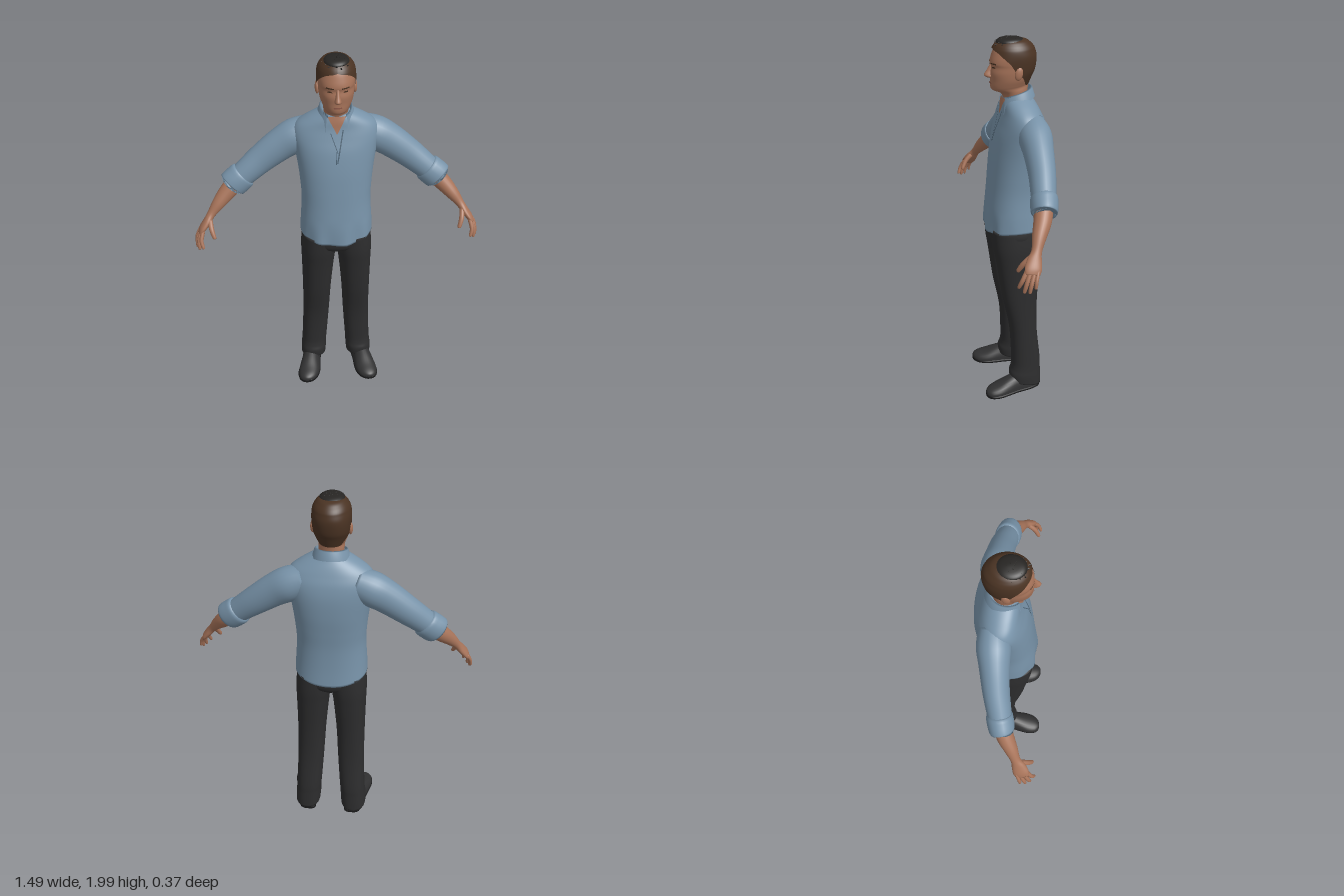
import * as THREE from 'three';

const V = (x, y, z) => new THREE.Vector3(x, y, z);
const mat = (name, color, side = THREE.FrontSide) =>
  Object.assign(new THREE.MeshStandardMaterial({ color, side }), { name });

// Smoothly interpolate every column of a table of cross-sections.
function sample(rows, n) {
  const m = rows.length - 1, out = [];
  for (let k = 0; k <= n; k++) {
    const t = k / n * m, i = Math.min(Math.floor(t), m - 1), f = t - i;
    const [a, b, c, d] = [-1, 0, 1, 2].map(o => rows[Math.min(Math.max(i + o, 0), m)]);
    out.push(b.map((_, q) => b[q] + 0.5 * f * (c[q] - a[q] + f * (2 * a[q] - 5 * b[q] + 4 * c[q] - d[q]
      + f * (3 * (b[q] - c[q]) + d[q] - a[q])))));
  }
  return out;
}

// Skin a list of rings; closed rings share their seam and get end caps.
function loft(rings, closed = true) {
  const s = rings[0].length, pos = [], idx = [], last = rings.length - 1;
  rings.forEach(r => r.forEach(p => pos.push(p.x, p.y, p.z)));
  for (let i = 0; i < last; i++) for (let j = 0; j < (closed ? s : s - 1); j++) {
    const k = (j + 1) % s, a = i * s + j, b = i * s + k;
    idx.push(a, b, b + s, a, b + s, a + s);
  }
  if (closed) [0, last].forEach(e => {
    const c = V(0, 0, 0);
    rings[e].forEach(p => c.addScaledVector(p, 1 / s));
    const n = pos.length / 3;
    pos.push(c.x, c.y, c.z);
    for (let j = 0; j < s; j++) {
      const a = e * s + j, b = e * s + (j + 1) % s;
      e ? idx.push(n, a, b) : idx.push(n, b, a);
    }
  });
  const g = new THREE.BufferGeometry();
  g.setAttribute('position', new THREE.Float32BufferAttribute(pos, 3));
  g.setIndex(idx);
  g.computeVertexNormals();
  return g;
}

const pw = (v, e) => Math.sign(v) * Math.abs(v) ** e;
const around = (n, f) => Array.from({ length: n }, (_, j) => f(j / n * Math.PI * 2));

// Horizontal superellipse at angle a: row = [y, halfWidth, zFront, zBack, power, tilt, xCentre]
function at([y, w, zf, zb, p = 2, tilt = 0, cx = 0], a) {
  const z = (zf + zb) / 2 + (zf - zb) / 2 * pw(Math.cos(a), 2 / p);
  return V(cx + w * pw(Math.sin(a), 2 / p), y + tilt * z, z);
}
const body = (rows, n = 40, seg = 48) => loft(sample(rows, n).map(r => around(seg, a => at(r, a))));

// Limb along a path: row = [x, y, z, radius toward the front, radius across]
function limb(rows, n = 24, seg = 24) {
  const s = sample(rows, n);
  return loft(s.map((r, i) => {
    const p = s[Math.max(i - 1, 0)], q = s[Math.min(i + 1, n)];
    const t = V(q[0] - p[0], q[1] - p[1], q[2] - p[2]).normalize();
    const u = V(0, 0, 1).addScaledVector(t, -t.z).normalize(), v = t.clone().cross(u);
    return around(seg, a => V(r[0], r[1], r[2])
      .addScaledVector(u, r[3] * Math.cos(a)).addScaledVector(v, r[4] * Math.sin(a)));
  }));
}

function mirror(geo) {
  const g = geo.clone().scale(-1, 1, 1), ix = g.index.array;
  for (let i = 0; i < ix.length; i += 3) [ix[i + 1], ix[i + 2]] = [ix[i + 2], ix[i + 1]];
  g.computeVertexNormals();
  return g;
}

// Thin face laid on the front of a body; corners run bottom left, bottom right, top right, top left.
function patch(rows, [bl, br, tr, tl], off = 0.003) {
  const s = sample(rows, 80);
  const surf = (x, y) => {
    const i = Math.max(1, s.findIndex(r => r[0] >= y)), a = s[i - 1], b = s[i];
    const f = (y - a[0]) / (b[0] - a[0]);
    const [, w, zf, zb, p] = a.map((v, k) => v + (b[k] - v) * f);
    return (zf + zb) / 2 + (zf - zb) / 2 * Math.max(0, 1 - Math.abs(x / w) ** p) ** (1 / p) + off;
  };
  const mix = (p, q, t) => [p[0] + (q[0] - p[0]) * t, p[1] + (q[1] - p[1]) * t];
  return loft(Array.from({ length: 9 }, (_, i) => Array.from({ length: 9 }, (_, j) => {
    const [x, y] = mix(mix(bl, br, j / 8), mix(tl, tr, j / 8), i / 8);
    return V(x, y, surf(x, y));
  })), false);
}

const TORSO = [
  [0.975, 0.192, 0.137, -0.175, 2.3], [1.08, 0.187, 0.132, -0.167, 2.3], [1.2, 0.18, 0.121, -0.165, 2.3],
  [1.3, 0.185, 0.112, -0.172, 2.3], [1.4, 0.195, 0.101, -0.18, 2.3], [1.5, 0.21, 0.083, -0.18, 2.3],
  [1.57, 0.218, 0.062, -0.168, 2.3], [1.62, 0.2, 0.048, -0.148, 2.2], [1.66, 0.148, 0.042, -0.128, 2.1],
  [1.695, 0.085, 0.034, -0.105, 2]];

const HEAD = [
  [1.6, 0.058, 0.03, -0.085, 2, 0], [1.68, 0.06, 0.034, -0.088, 2, 0], [1.72, 0.063, 0.05, -0.09, 2, -0.12],
  [1.742, 0.064, 0.09, -0.092, 2, -0.12], [1.757, 0.07, 0.1, -0.094, 2, -0.06], [1.785, 0.08, 0.1, -0.1, 2.1, 0],
  [1.82, 0.086, 0.102, -0.113, 2.2, 0], [1.85, 0.088, 0.097, -0.12, 2.2, 0], [1.87, 0.089, 0.1, -0.122, 2.2, 0],
  [1.9, 0.089, 0.093, -0.122, 2.1, 0], [1.94, 0.08, 0.076, -0.11, 2, 0], [1.965, 0.055, 0.045, -0.08, 2, 0],
  [1.975, 0.015, 0, -0.03, 2, 0]];

// Last column: how far the hair reaches round from the back, in radians.
const HAIR = [
  [1.755, 0.07, 0.09, -0.094, 2, 0.8], [1.8, 0.087, 0.1, -0.111, 2.1, 1.2], [1.83, 0.092, 0.104, -0.124, 2.2, 1.55],
  [1.87, 0.095, 0.104, -0.131, 2.2, 1.8], [1.9, 0.095, 0.099, -0.132, 2.1, 2.15], [1.925, 0.092, 0.094, -0.126, 2, 2.55],
  [1.94, 0.087, 0.088, -0.12, 2, Math.PI], [1.957, 0.076, 0.076, -0.105, 2, Math.PI],
  [1.974, 0.055, 0.052, -0.08, 2, Math.PI], [1.982, 0.01, 0, -0.03, 2, Math.PI]];

export function createModel() {
  const M = {
    shirt: mat('shirt blue', 0x7893a9, THREE.DoubleSide), seam: mat('shirt seam', 0x4c6273, THREE.DoubleSide),
    skin: mat('skin', 0xa8745a), lips: mat('lips', 0x8c5747), hair: mat('brown hair', 0x4a3323, THREE.DoubleSide),
    top: mat('dark hair', 0x272523), trousers: mat('trousers', 0x2d2d2e),
    shoe: mat('shoe', 0x313132), sole: mat('sole', 0x1b1b1c)
  };
  const model = new THREE.Group();
  model.name = 'standingMan';
  const add = (name, geo, m, parent = model) => {
    const mesh = new THREE.Mesh(geo, m);
    mesh.name = name;
    parent.add(mesh);
    return mesh;
  };
  const pair = (name, geo, m) => {
    add('left' + name, geo, m);
    add('right' + name, mirror(geo), m);
  };

  // Shirt, with a rippled hem that rises at the sides
  add('shirtBody', loft(sample(TORSO, 54).map(r => around(64, a => {
    const p = at(r, a), k = Math.max(0, 1 - (r[0] - 0.975) / 0.14);
    p.y += 0.03 * k * (p.x / 0.192) ** 2;
    p.z += 0.007 * k * Math.sin(9 * a) * Math.max(0, Math.cos(a));
    return p;
  }))), M.shirt);
  pair('Sleeve', limb([
    [0.12, 1.57, -0.078, 0.07, 0.075], [0.2, 1.535, -0.076, 0.083, 0.09], [0.28, 1.488, -0.07, 0.074, 0.085],
    [0.375, 1.418, -0.06, 0.066, 0.076], [0.45, 1.358, -0.045, 0.061, 0.068], [0.51, 1.308, -0.032, 0.056, 0.062]]), M.shirt);
  pair('Cuff', limb([
    [0.47, 1.341, -0.042, 0.05, 0.055], [0.476, 1.336, -0.041, 0.064, 0.074], [0.5, 1.316, -0.035, 0.066, 0.077],
    [0.525, 1.296, -0.029, 0.064, 0.077], [0.536, 1.286, -0.026, 0.06, 0.073], [0.533, 1.289, -0.026, 0.045, 0.05]], 15), M.shirt);

  // Folded collar, open at the throat, whose ends drop to points
  const fold = [[1.66, 0.066, 0.045, -0.094, -0.2, 0], [1.716, 0.074, 0.048, -0.103, -0.24, 0.2],
    [1.712, 0.081, 0.055, -0.112, -0.24, 0.3], [1.664, 0.097, 0.067, -0.126, -0.25, 1]];
  add('collar', loft(fold.map(([y, w, zf, zb, tilt, drop]) => Array.from({ length: 41 }, (_, j) => {
    const s = j / 20 - 1, p = at([y, w, zf, zb, 2, tilt], Math.PI + s * 2.5);
    p.y -= 0.045 * drop * Math.abs(s) ** 5;
    return p;
  })), false), M.shirt);

  // Open neckline and placket
  add('openNeck', patch(TORSO, [[-0.002, 1.605], [0.002, 1.605], [0.045, 1.69], [-0.045, 1.69]], 0.005), M.skin);
  const seam = (name, x0, y0, x1, y1, w = 0.003) =>
    add(name, patch(TORSO, [[x0 - w, y0], [x0 + w, y0], [x1 + w, y1], [x1 - w, y1]], 0.004), M.seam);
  seam('placketEdge', 0.0, 1.46, 0.03, 1.625);
  seam('placketFold', 0.003, 1.51, -0.032, 1.61, 0.002);
  seam('placketSlit', -0.006, 1.455, -0.004, 1.52, 0.002);

  // Forearms and hands
  pair('Forearm', limb([
    [0.5, 1.313, -0.035, 0.046, 0.05], [0.56, 1.257, -0.01, 0.043, 0.044], [0.61, 1.205, 0.02, 0.034, 0.034],
    [0.65, 1.157, 0.043, 0.025, 0.022], [0.675, 1.122, 0.06, 0.035, 0.02], [0.7, 1.09, 0.073, 0.04, 0.017],
    [0.714, 1.07, 0.078, 0.034, 0.011]], 30), M.skin);
  const digits = {
    Thumb: [[0.658, 1.135, 0.07], [0.652, 1.1, 0.105], [0.639, 1.06, 0.127], 0.013],
    IndexFinger: [[0.696, 1.09, 0.1], [0.708, 1.045, 0.125], [0.7, 1.008, 0.14], 0.0105],
    MiddleFinger: [[0.704, 1.085, 0.086], [0.722, 1.035, 0.108], [0.722, 0.992, 0.12], 0.0105],
    RingFinger: [[0.709, 1.082, 0.068], [0.731, 1.034, 0.088], [0.734, 0.993, 0.097], 0.01],
    LittleFinger: [[0.709, 1.085, 0.051], [0.732, 1.045, 0.065], [0.738, 1.013, 0.07], 0.009]
  };
  for (const [name, [a, b, c, r]] of Object.entries(digits)) {
    const tip = c.map((v, i) => v + (c[i] - b[i]) * 0.12);
    pair(name, limb([[...a, r, r], [...b, r, r], [...c, r * 0.75, r * 0.75], [...tip, r * 0.2, r * 0.2]], 12, 12), M.skin);
  }

  // Trousers
  add('trouserSeat', body([[0.9, 0.06, 0.085, -0.125, 2.2], [0.925, 0.15, 0.11, -0.146, 2.3],
    [0.96, 0.186, 0.121, -0.155, 2.3], [1.03, 0.178, 0.12, -0.154, 2.3]], 16), M.trousers);
  // Leg row: y, inner x, outer x, front z, back z, tilt
  const leg = [[0.055, 0.064, 0.208, 0.034, -0.143, 0.22], [0.1, 0.06, 0.207, 0.037, -0.142, 0.15],
    [0.14, 0.059, 0.202, 0.026, -0.14, 0.05], [0.2, 0.054, 0.198, 0.022, -0.138, 0], [0.4, 0.041, 0.19, 0.032, -0.12, 0],
    [0.6, 0.03, 0.188, 0.07, -0.123, 0], [0.8, 0.012, 0.19, 0.098, -0.14, 0], [0.9, -0.002, 0.191, 0.113, -0.15, 0],
    [1.0, -0.01, 0.183, 0.118, -0.152, 0]];
  pair('TrouserLeg', body(leg.map(([y, i, o, f, b, t]) => [y, (o - i) / 2, f, b, 2.3, t, (i + o) / 2])), M.trousers);

  // Shoes: z, half width, top height
  const last = sample([[-0.135, 0.022, 0.04], [-0.12, 0.042, 0.07], [-0.07, 0.053, 0.095], [0, 0.053, 0.1],
    [0.05, 0.058, 0.086], [0.11, 0.062, 0.062], [0.155, 0.05, 0.048], [0.178, 0.028, 0.036], [0.185, 0.008, 0.024]], 32);
  const footX = z => 0.13 + 0.17 * (z + 0.13);
  pair('Shoe', loft(last.map(([z, w, h]) => around(28, a =>
    V(footX(z) + w * Math.cos(a), 0.012 + (h - 0.012) * Math.max(0, Math.sin(a)) ** 0.8, z)))), M.shoe);
  pair('Sole', loft(last.map(([z, w]) => around(16, a =>
    V(footX(z) + (w + 0.003) * pw(Math.cos(a), 0.3), 0.009 + 0.009 * pw(Math.sin(a), 0.3), z)))), M.sole);

  // Head and face
  add('headAndNeck', body(HEAD, 60), M.skin);
  add('nose', body([[1.794, 0.007, 0.112, 0.08, 2], [1.8, 0.017, 0.124, 0.08, 2], [1.81, 0.016, 0.132, 0.08, 2],
    [1.83, 0.011, 0.119, 0.08, 2], [1.855, 0.008, 0.104, 0.08, 2], [1.87, 0.006, 0.097, 0.08, 2]], 20, 20), M.skin);
  add('mouth', patch(HEAD, [[-0.022, 1.766], [0.022, 1.766], [0.018, 1.773], [-0.018, 1.773]]), M.lips);
  pair('Eye', patch(HEAD, [[0.026, 1.847], [0.05, 1.847], [0.046, 1.854], [0.03, 1.854]]), M.hair);
  pair('Eyebrow', patch(HEAD, [[0.018, 1.865], [0.056, 1.866], [0.054, 1.873], [0.018, 1.871]]), M.hair);
  pair('Ear', new THREE.SphereGeometry(1, 16, 12).scale(0.011, 0.033, 0.02).rotateX(-0.2).translate(0.091, 1.825, -0.022), M.skin);

  // Short hair: brown sides and a darker tousled crown
  add('hairSides', loft(sample(HAIR, 45).map(r => Array.from({ length: 49 }, (_, j) =>
    at([...r.slice(0, 5)], Math.PI + (j / 24 - 1) * Math.min(r[5], Math.PI)))), false), M.hair);
  add('hairCrown', body([[1.955, 0.062, 0.07, -0.072, 2], [1.972, 0.06, 0.066, -0.07, 2],
    [1.984, 0.042, 0.045, -0.05, 2], [1.989, 0.008, 0, -0.02, 2]], 12, 32), M.top);
  const tufts = new THREE.Group();
  tufts.name = 'hairTufts';
  model.add(tufts);
  let seed = 7;
  const rnd = () => (seed = seed * 16807 % 2147483647) / 2147483647;
  for (let i = 0; i < 44; i++) {
    const a = i * 2.4, r = Math.sqrt((i + 0.5) / 44);
    const t = add('tuft', new THREE.ConeGeometry(0.011, 0.03, 5), M.top, tufts);
    t.position.set(0.064 * r * Math.sin(a), 1.984 - 0.028 * r * r - 0.003 * rnd(), 0.075 * r * Math.cos(a));
    t.rotation.set(0.5 + r * Math.cos(a) * 0.6 + rnd() * 0.3, 0, -r * Math.sin(a) * 0.9 + (rnd() - 0.5) * 0.6);
  }
  return model;
}
